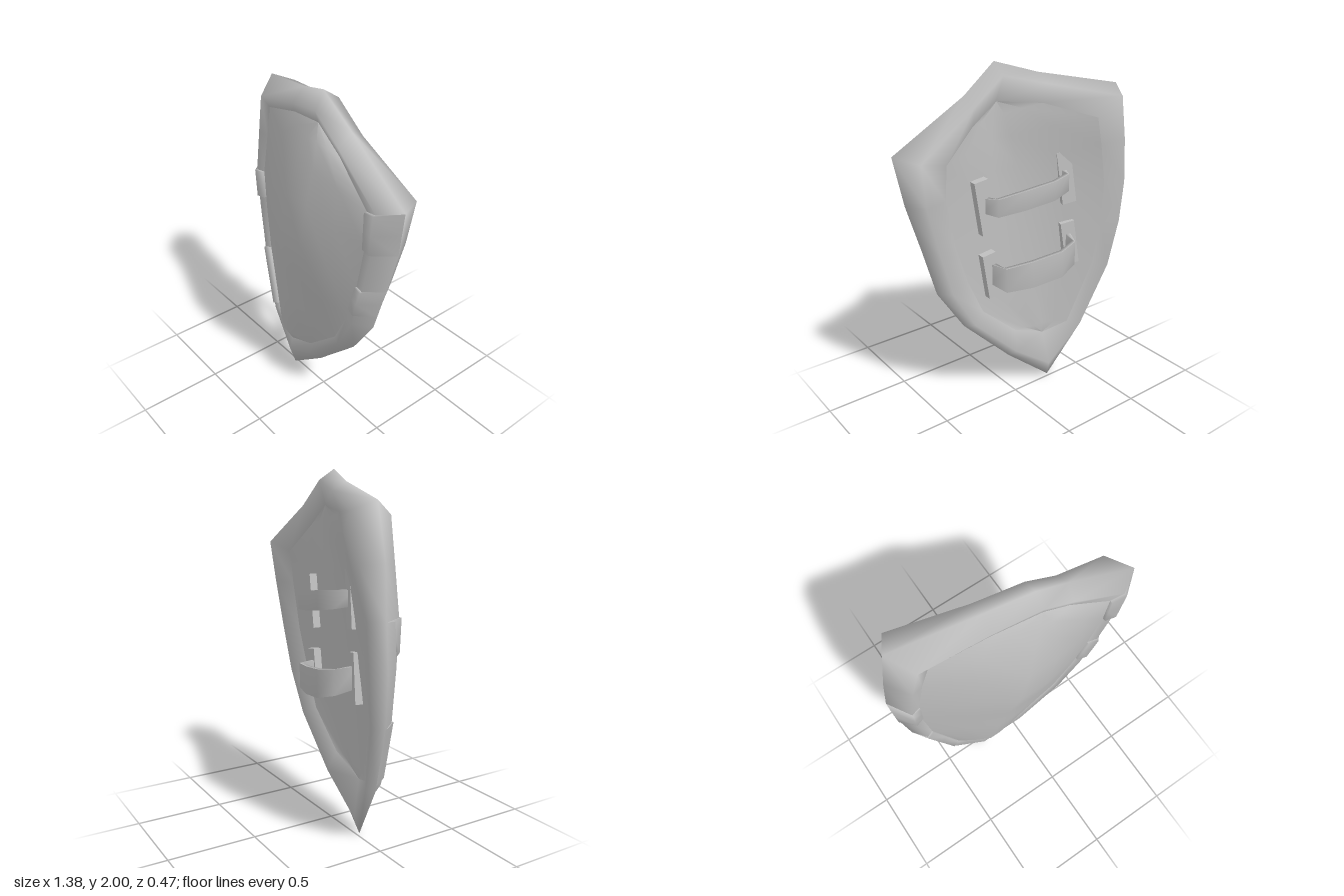
import * as THREE from 'three';

const metal = new THREE.MeshStandardMaterial({ color: 0xc0c0c0 });
metal.name = 'grey metal';

// Rim stations, clockwise from the top point:
// outer x, y, z, inner x, y, front z, back z
const RIM = [
  [0.085, 2.0, 0.07, 0.1, 1.85, 0.13, -0.02],
  [0.28, 1.85, 0.06, 0.26, 1.73, 0.13, -0.02],
  [0.69, 1.6, 0.09, 0.5, 1.55, 0.165, -0.06],
  [0.645, 1.34, 0.07, 0.49, 1.34, 0.16, -0.04],
  [0.57, 1.08, 0.06, 0.43, 1.07, 0.15, -0.03],
  [0.49, 0.8, 0.06, 0.35, 0.82, 0.14, -0.02],
  [0.33, 0.55, 0.05, 0.24, 0.6, 0.13, -0.02],
  [0.02, 0.24, 0.04, -0.01, 0.37, 0.11, -0.02],
  [-0.27, 0, 0.02, -0.245, 0.24, 0.07, -0.01],
  [-0.49, 0.34, -0.03, -0.41, 0.36, 0.04, -0.07],
  [-0.64, 0.73, -0.08, -0.54, 0.75, 0.0, -0.14],
  [-0.68, 1.03, -0.1, -0.565, 1.03, 0.0, -0.18],
  [-0.69, 1.28, -0.12, -0.56, 1.28, 0.01, -0.2],
  [-0.66, 1.55, -0.11, -0.51, 1.53, 0.01, -0.22],
  [-0.605, 1.84, -0.12, -0.46, 1.72, 0.02, -0.235],
  [-0.15, 1.93, 0, -0.15, 1.81, 0.08, -0.09],
];
// Depth of the front ridge from top to bottom
const RIDGE = [0.11, 0.15, 0.185, 0.22, 0.23, 0.19, 0.16, 0.125, 0.07];

const mix = THREE.MathUtils.lerp;
const mixPoint = (a, b, t) => a.map((v, k) => mix(v, b[k], t));

// Smooth skin over rows of points; closed joins the last row to the first
function skin(rows, closed) {
  const n = rows.length, m = rows[0].length, index = [];
  for (let i = 0; i < (closed ? n : n - 1); i++) {
    for (let j = 0; j < m - 1; j++) {
      const a = i * m + j, d = ((i + 1) % n) * m + j;
      index.push(a, d, d + 1, a, d + 1, a + 1);
    }
  }
  const g = new THREE.BufferGeometry();
  g.setAttribute('position', new THREE.Float32BufferAttribute(rows.flat(2), 3));
  g.setIndex(index);
  g.computeVertexNormals();
  return g;
}

// Rim cross-section, from the inner front edge round to the wider inner back edge
function rimSection([ox, oy, oz, ix, iy, f, b]) {
  const at = (t, z) => [mix(ix, ox, t), mix(iy, oy, t), z];
  return [at(0, f - 0.015), at(0.4, f), [ox, oy, oz], at(0.6, b), at(-0.3, b + 0.045)];
}

// Panel rows from the top point down, each from the right rim to the left rim
function panelRows(sections, k, depth, bulge) {
  return RIDGE.map((_, i) => {
    const r = sections[(16 - i) % 16][k], l = sections[i][k];
    const arch = Math.sin(Math.PI * i / 8), half = 0.09 * arch;
    const y = (r[1] + l[1]) / 2;
    const x = i % 8 ? -0.25 + 0.35 * (y - 0.2) / 1.66 + 0.04 * arch : l[0];
    const end = i % 8 ? bulge : 0, z = depth(i, l[2]);
    const a = [x - half, y, z], b = [x + half, y, z];
    const ma = mixPoint(r, a, 0.5), mb = mixPoint(b, l, 0.5);
    ma[2] += end;
    mb[2] += end;
    return [r, ma, a, b, mb, l];
  });
}

export function createModel() {
  const model = new THREE.Group();
  model.name = 'shield';
  const add = (name, geometry) => {
    const mesh = new THREE.Mesh(geometry, metal);
    mesh.name = name;
    model.add(mesh);
    return mesh;
  };

  // Rim and the two panels inside it
  const sections = RIM.map(rimSection);
  add('rim', skin(sections, true));
  const front = panelRows(sections, 0, (i, end) => (i % 8 ? RIDGE[i] : end), 0.005);
  add('frontPanel', skin(front, false));
  const back = panelRows(sections, 4, (i, end) => (i % 8 ? 0.025 : end), 0.01);
  add('backPanel', skin(back.map((row) => row.reverse()), false));

  // Raised, worn pieces of the rim: start and end station, lift, lift of the outer edge
  const pieces = [[2, 3, 0.018, 0], [4, 4.7, 0.015, 0], [9.1, 10, 0.012, 0], [11.3, 12, 0.015, 0.05]];
  for (const [from, to, lift, outerLift] of pieces) {
    const rows = [[0, 0], [0, 1], [0.5, 1], [1, 1], [1, 0]].map(([t, up]) => {
      const u = mix(from, to, t), i = Math.floor(u);
      const row = [0, 1, 2].map((k) => {
        const p = mixPoint(sections[i][k], sections[i + 1][k], u - i);
        return [p[0], p[1], p[2] + up * (k < 2 ? lift : outerLift)];
      });
      const [x, y, z] = row[0];
      return [[x, y, z - up * lift - 0.02], ...row];
    });
    add('raisedRimPiece', skin(rows, false));
  }

  // Two arm straps, each a bowed band between two mounting pads
  const straps = [
    { y: 1.3, shift: 0, width: 0.11, reach: 0.86, sag: 0, padHeight: 0.31 },
    { y: 0.89, shift: -0.04, width: 0.16, reach: 1, sag: -0.03, padHeight: 0.27 },
  ];
  const bow = [[-0.31, -0.06], [-0.26, -0.17], [-0.14, -0.2], [0.04, -0.165], [0.19, -0.12], [0.225, 0]];
  for (const { y, shift, width, reach, sag, padHeight } of straps) {
    const rows = bow.map(([bx, bz], i) => {
      const x = bx + shift, z = bz * reach, middle = Math.sin(Math.PI * i / (bow.length - 1));
      const cy = y - 0.14 * bx + sag * middle, h = width / 2 * (0.75 + 0.25 * middle);
      const inX = x + (i === 0 ? 0.03 : i === bow.length - 1 ? -0.03 : 0);
      return [
        [x, cy + h, z], [x, cy - h, z],
        [inX, cy - h, z + 0.025], [inX, cy + h, z + 0.025], [x, cy + h, z],
      ];
    });
    add('armStrap', skin(rows, false));
    for (const [x, z, yaw, dy] of [[0.215, 0, -0.05, -0.04], [-0.305, -0.06, -0.28, 0.04]]) {
      const pad = add('strapPad', new THREE.BoxGeometry(0.085, padHeight, 0.045));
      pad.position.set(x + shift, y + dy, z);
      pad.rotation.set(0, yaw, -0.15);
    }
  }
  return model;
}
